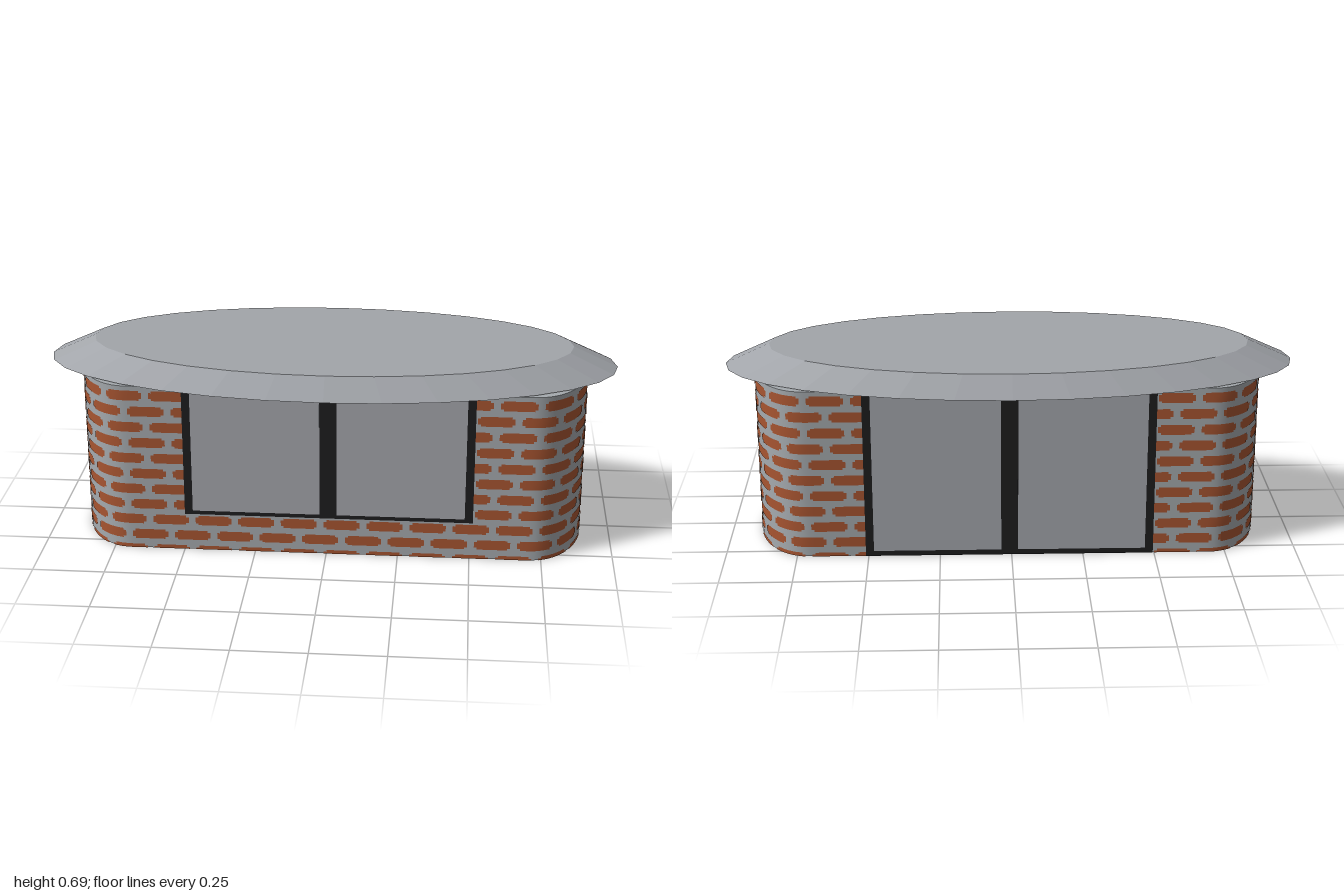
import * as THREE from 'three';
import { mergeGeometries, toCreasedNormals } from 'three/addons/utils/BufferGeometryUtils.js';

const A = 0.19, B = 0.297, CX = 0.7;   // elliptical end radii and their centres
const OPEN = 0.5, SILL = 0.14, TOP = 0.61, THICK = 0.04;

// Footprint outline, starting at the +x end and running round the front
const ring = [];
const addArc = (t0, t1, cx) => {
  const n = Math.round((t1 - t0) / (Math.PI / 32));
  for (let i = 0; i <= n; i++) {
    const t = t0 + (t1 - t0) * i / n;
    const normal = new THREE.Vector2(Math.cos(t) / A, Math.sin(t) / B).normalize();
    ring.push({ p: new THREE.Vector2(cx + A * Math.cos(t), B * Math.sin(t)), n: normal, s: 0 });
  }
};
addArc(0, Math.PI / 2, CX);
addArc(Math.PI / 2, Math.PI * 1.5, -CX);
addArc(Math.PI * 1.5, Math.PI * 2, CX);
for (let i = 1; i < ring.length; i++) ring[i].s = ring[i - 1].s + ring[i].p.distanceTo(ring[i - 1].p);
const LENGTH = ring[ring.length - 1].s;
const HALF = ring[16].s + CX - OPEN;   // half the length of one curved pier

// Point at distance s along the outline, pushed outward by d
function at(s, d) {
  const m = ((s % LENGTH) + LENGTH) % LENGTH;
  let i = 1;
  while (i < ring.length - 1 && ring[i].s < m) i++;
  const a = ring[i - 1], b = ring[i], f = (m - a.s) / (b.s - a.s);
  return a.p.clone().lerp(b.p, f).addScaledVector(a.n.clone().lerp(b.n, f).normalize(), d);
}

// Wall band with thickness that follows the outline
function wallBand(s0, s1, y0, y1) {
  const outer = [], inner = [], n = 48;
  for (let i = 0; i <= n; i++) {
    const s = s0 + (s1 - s0) * i / n;
    outer.push(at(s, 0));
    inner.unshift(at(s, -THICK));
  }
  const g = new THREE.ExtrudeGeometry(new THREE.Shape([...outer, ...inner]), { depth: y1 - y0, bevelEnabled: false });
  g.rotateX(Math.PI / 2).translate(0, y1, 0);
  return toCreasedNormals(g, 0.6);
}

// One thin brick face with stepped ends, bent along the wall
const COLUMNS = [[-0.063, 0.011], [-0.053, 0.011], [-0.053, 0.018], [-0.027, 0.018], [0, 0.018],
  [0.027, 0.018], [0.053, 0.018], [0.053, 0.011], [0.063, 0.011]];
function brick(sc, yc, lo, hi, inside) {
  const pos = [], idx = [];
  COLUMNS.forEach(([ds, h], i) => {
    const p = at(THREE.MathUtils.clamp(sc + ds, lo, hi), inside ? -THICK - 0.002 : 0.002);
    pos.push(p.x, Math.max(0, yc - h), p.y, p.x, Math.min(TOP, yc + h), p.y);
    if (i > 0) {
      const a = 2 * i - 2, b = a + 1, c = a + 2, d = a + 3;
      if (inside) idx.push(a, c, b, b, c, d);
      else idx.push(a, b, c, b, d, c);
    }
  });
  const g = new THREE.BufferGeometry();
  g.setAttribute('position', new THREE.Float32BufferAttribute(pos, 3));
  g.setIndex(idx);
  g.computeVertexNormals();
  return g;
}

// Staggered courses covering every wall band
function brickCourses(inside) {
  const parts = [], rightPier = [-HALF, HALF];
  const leftPier = [HALF + 2 * OPEN, 3 * HALF + 2 * OPEN];
  for (let row = 0; row <= 10; row++) {
    const y = -0.004 + 0.058 * row;
    const bands = y < SILL ? [[-HALF, leftPier[1]]] : [rightPier, leftPier];
    for (const [lo, hi] of bands) {
      for (let k = -6; k < 32; k++) {
        const s = (row % 2 ? 0.065 : 0.14) + 0.15 * k;
        if (s + 0.06 > lo && s - 0.06 < hi) parts.push(brick(s, y, lo, hi, inside));
      }
    }
  }
  return mergeGeometries(parts);
}

export function createModel() {
  const mat = (name, color, extra = {}) => {
    const m = new THREE.MeshStandardMaterial({ color, ...extra });
    m.name = name;
    return m;
  };
  const mortar = mat('mortar grey', 0xa6abaf);
  const clay = mat('brick red', 0xa85531, { side: THREE.DoubleSide });
  const black = mat('frame black', 0x1d1d1e);
  const glass = mat('glass grey', 0xa6a8ae);
  const slate = mat('roof grey', 0xa2a5aa, { flatShading: true });

  const model = new THREE.Group();
  model.name = 'brickKiosk';
  const add = (parent, name, geometry, material) => {
    const mesh = new THREE.Mesh(geometry, material);
    mesh.name = name;
    parent.add(mesh);
    return mesh;
  };

  // Walls and brick faces
  const body = new THREE.Group();
  body.name = 'body';
  body.position.set(0.007, 0, 0.002);
  model.add(body);
  add(body, 'rightPier', wallBand(-HALF, HALF, 0, TOP), mortar);
  add(body, 'leftPier', wallBand(HALF + 2 * OPEN, 3 * HALF + 2 * OPEN, 0, TOP), mortar);
  add(body, 'frontSill', wallBand(HALF, HALF + 2 * OPEN, 0, SILL), mortar);
  add(body, 'outerBricks', brickCourses(false), clay);
  add(body, 'innerBricks', brickCourses(true), clay);

  // Two-pane frames: a window in front, doors down to the ground behind
  const glazing = (name, y0, border, turn) => {
    const group = new THREE.Group();
    group.name = name;
    group.rotation.y = turn;
    const h = TOP + 0.003 - y0;
    add(group, 'frame', new THREE.BoxGeometry(2 * OPEN + 0.006, h, 0.022), black)
      .position.set(0, y0 + h / 2, B - 0.008);
    for (const side of [-1, 1]) {
      const paneH = 0.6 - y0 - border;
      add(group, 'pane', new THREE.BoxGeometry(0.445, paneH, 0.004), glass)
        .position.set(side * 0.252, y0 + border + paneH / 2, B + 0.004);
    }
    body.add(group);
  };
  glazing('frontWindow', SILL - 0.003, 0.015, 0);
  glazing('backDoors', 0, 0.02, Math.PI);

  // Oval roof slab with a sloping rim
  const roof = add(model, 'roof', new THREE.CylinderGeometry(0.845, 1, 0.071, 32), slate);
  roof.scale.z = 0.421;
  roof.position.y = 0.6525;
  return model;
}
